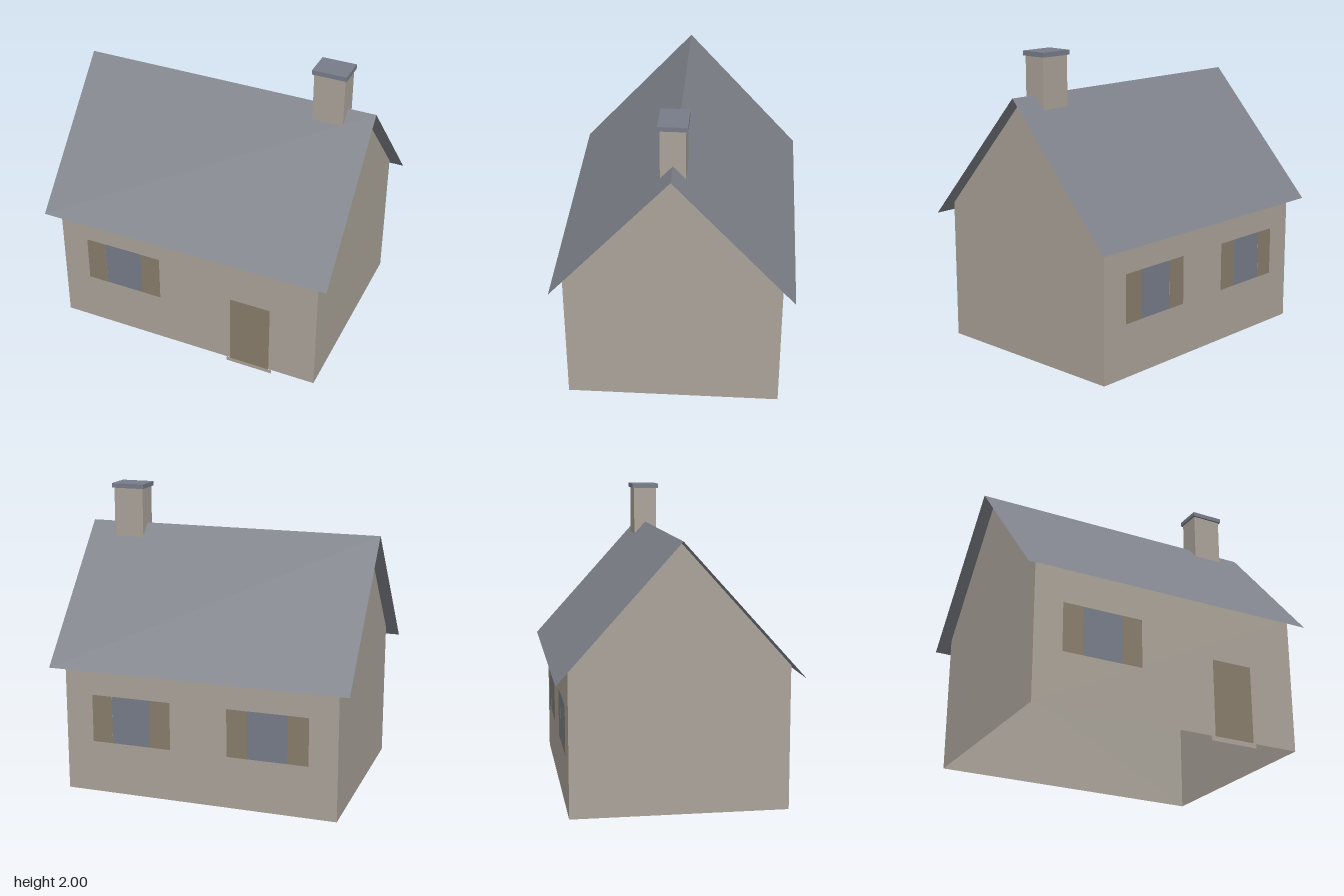
import * as THREE from 'three';

const paint = (name, color) => {
  const m = new THREE.MeshStandardMaterial({ color, side: THREE.DoubleSide });
  m.name = name;
  return m;
};

export function createModel() {
  const house = new THREE.Group();
  house.name = 'cottage';

  const stone = paint('stone', 0xaaa399);
  const slate = paint('slate', 0x7f828a);
  const blueGrey = paint('blueGrey', 0x767c88);
  const wood = paint('wood', 0x887d6b);

  const add = (parent, name, geometry, material, x = 0, y = 0, z = 0) => {
    const mesh = new THREE.Mesh(geometry, material);
    mesh.name = name;
    mesh.position.set(x, y, z);
    parent.add(mesh);
    return mesh;
  };

  // Flat panel facing +z, given by its edges
  const panel = (parent, name, material, x0, x1, y0, y1, z) =>
    add(parent, name, new THREE.PlaneGeometry(x1 - x0, y1 - y0), material, (x0 + x1) / 2, (y0 + y1) / 2, z);

  const W = 0.92, D = 0.69, BASE = 0.03, EAVE = 0.95, APEX = 1.715;

  // Gable outline, drawn in the xy plane and turned to face sideways
  const gable = new THREE.Shape([
    new THREE.Vector2(-D, BASE), new THREE.Vector2(D, BASE),
    new THREE.Vector2(D, EAVE), new THREE.Vector2(0, APEX), new THREE.Vector2(-D, EAVE),
  ]);
  for (const side of [1, -1]) {
    add(house, side > 0 ? 'leftGable' : 'rightGable', new THREE.ShapeGeometry(gable), stone, side * W)
      .rotation.y = side * Math.PI / 2;
  }

  // Window: glass between two shutters
  const addWindow = (parent, cx) => {
    const win = new THREE.Group();
    win.name = 'window';
    win.position.x = cx;
    panel(win, 'glass', blueGrey, -0.132, 0.132, 0.38, 0.70, D + 0.004);
    panel(win, 'shutter', wood, -0.27, -0.132, 0.38, 0.70, D + 0.005);
    panel(win, 'shutter', wood, 0.132, 0.27, 0.38, 0.70, D + 0.005);
    parent.add(win);
  };

  // Front and back: wall and roof slope, the back one turned round
  const RIDGE = 1.73, ROOF_EAVE = 0.88, ROOF_Z = 0.768;
  const rise = RIDGE - ROOF_EAVE;
  for (const name of ['front', 'back']) {
    const half = new THREE.Group();
    half.name = name + 'Side';
    if (name === 'back') half.rotation.y = Math.PI;
    panel(half, name + 'Wall', stone, -W, W, BASE, EAVE, D);
    add(half, name + 'RoofSlope', new THREE.PlaneGeometry(2, Math.hypot(rise, ROOF_Z)), slate,
      0, (RIDGE + ROOF_EAVE) / 2, ROOF_Z / 2).rotation.x = -Math.atan2(ROOF_Z, rise);
    addWindow(half, -0.462);
    if (name === 'back') addWindow(half, 0.462);
    house.add(half);
  }

  // Door and threshold
  panel(house, 'door', wood, 0.32, 0.60, BASE, 0.54, D + 0.004);
  panel(house, 'threshold', stone, 0.295, 0.62, 0, BASE, D + 0.002);

  // Chimney on the ridge, with its cap
  add(house, 'chimney', new THREE.BoxGeometry(0.204, 0.37, 0.157), stone, 0.711, 1.785, 0);
  add(house, 'chimneyCap', new THREE.BoxGeometry(0.226, 0.03, 0.182), blueGrey, 0.711, 1.985, 0);

  return house;
}
